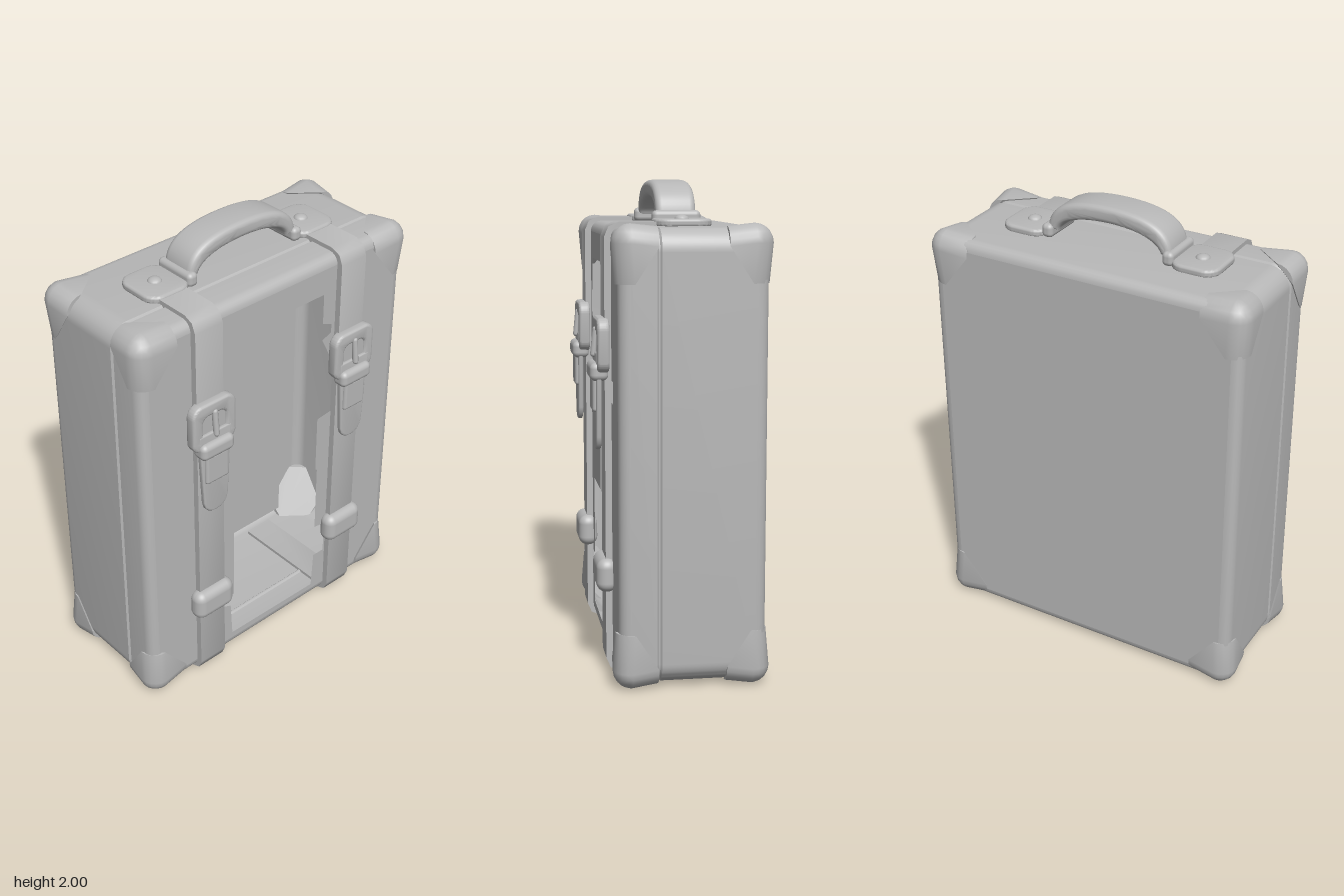
import * as THREE from 'three';
import { mergeGeometries, mergeVertices, toCreasedNormals } from 'three/addons/utils/BufferGeometryUtils.js';
import { RoundedBoxGeometry } from 'three/addons/geometries/RoundedBoxGeometry.js';
import { ConvexGeometry } from 'three/addons/geometries/ConvexGeometry.js';

const grey = new THREE.MeshStandardMaterial({ color: 0xb8b8b8, side: THREE.DoubleSide });
grey.name = 'plain grey';

// Body extents
const W = 0.71, Y0 = 0.015, Y1 = 1.82, ZB = -0.33, ZF = 0.258;
const FILLET = 0.045;

function add(parent, name, geometry, x = 0, y = 0, z = 0) {
  const mesh = new THREE.Mesh(geometry, grey);
  mesh.name = name;
  mesh.position.set(x, y, z);
  parent.add(mesh);
  return mesh;
}

function roundRect(x0, y0, x1, y1, r) {
  const s = new THREE.Shape();
  s.absarc(x1 - r, y0 + r, r, -Math.PI / 2, 0);
  s.absarc(x1 - r, y1 - r, r, 0, Math.PI / 2);
  s.absarc(x0 + r, y1 - r, r, Math.PI / 2, Math.PI);
  s.absarc(x0 + r, y0 + r, r, Math.PI, Math.PI * 1.5);
  s.closePath();
  return s;
}

const bodyOutline = inset =>
  roundRect(-W + inset, Y0 + inset, W - inset, Y1 - inset, 0.09 - inset);

function polyPath(points) {
  return new THREE.Path(points.map(p => new THREE.Vector2(p[0], p[1])));
}

// Hollow case: rounded rings from back to front, closed by two panels
function caseShell() {
  const profile = [];
  for (let i = 0; i <= 5; i++) {
    const a = (i / 5) * Math.PI / 2;
    profile.push([FILLET * (1 - Math.sin(a)), ZB + FILLET * (1 - Math.cos(a))]);
  }
  profile.push([0, 0.09], [0.008, 0.097], [0.008, 0.103], [0, 0.11]);
  for (let i = 0; i <= 5; i++) {
    const a = (i / 5) * Math.PI / 2;
    profile.push([FILLET * (1 - Math.cos(a)), ZF - FILLET * (1 - Math.sin(a))]);
  }
  const pos = [], idx = [];
  let n = 0;
  profile.forEach(([inset, z]) => {
    const ring = bodyOutline(inset).getPoints(6);
    n = ring.length;
    ring.forEach(p => pos.push(p.x, p.y, z));
  });
  for (let j = 0; j < profile.length - 1; j++) {
    for (let i = 0; i < n; i++) {
      const a = j * n + i, b = j * n + (i + 1) % n;
      idx.push(a, b, b + n, a, b + n, a + n);
    }
  }
  const g = new THREE.BufferGeometry();
  g.setAttribute('position', new THREE.Float32BufferAttribute(pos, 3));
  g.setIndex(idx);
  return toCreasedNormals(g, 0.7);
}

// Front panel with its ragged opening
function frontPanel() {
  const s = bodyOutline(FILLET);
  s.holes.push(polyPath([
    [-0.26, 1.66], [-0.26, 1.53], [-0.30, 1.5], [-0.30, 1.43], [-0.26, 1.4], [-0.26, 1.25], [-0.31, 1.24],
    [-0.31, 1.05], [-0.24, 1.03], [0.02, 1.03], [0.02, 0.67], [-0.24, 0.67], [-0.24, 0.32],
    [-0.31, 0.32], [-0.31, 0.28], [-0.26, 0.26], [-0.25, 0.09], [0.24, 0.085], [0.25, 0.26],
    [0.31, 0.26], [0.31, 0.42], [0.25, 0.43], [0.25, 0.76], [0.24, 0.77], [0.24, 1.04],
    [0.32, 1.05], [0.32, 1.3], [0.25, 1.44], [0.3, 1.46], [0.3, 1.5], [0.25, 1.52], [0.25, 1.66],
  ]));
  s.holes.push(polyPath([[0.46, 1.12], [0.46, 1.21], [0.51, 1.21], [0.51, 1.12]]));
  return new THREE.ShapeGeometry(s, 6);
}

// Rounded corner guard: three arms along the edges joined by slanted flaps
function cornerGuard(lx, ly, lz, r) {
  const pts = [];
  const N = 5;
  for (let i = 0; i <= N; i++) {
    const t = (i / N) * Math.PI / 2, c = r - r * Math.cos(t), s = r - r * Math.sin(t);
    pts.push(new THREE.Vector3(-lx, -c - 0.012, -s - 0.012));
    pts.push(new THREE.Vector3(-c - 0.012, -ly, -s - 0.012));
    pts.push(new THREE.Vector3(-c - 0.012, -s - 0.012, -lz));
    for (let j = 0; j <= N; j++) {
      const p = (j / N) * Math.PI / 2;
      pts.push(new THREE.Vector3(
        r * (Math.cos(t) * Math.sin(p) - 1),
        r * (Math.cos(p) - 1),
        r * (Math.sin(t) * Math.sin(p) - 1)));
    }
  }
  return toCreasedNormals(new ConvexGeometry(pts), 0.6);
}

// Strap running from the top, down the front and under the case
function strapGeometry(width) {
  const side = (t, reverse) => {
    const f = 0.285 - t, top = 1.838 - t, bot = t, r = 0.06;
    const p = [[-0.12, top], [f - r, top], [f - r * 0.3, top - r * 0.3], [f, top - r],
      [f, bot + r], [f - r * 0.3, bot + r * 0.3], [f - r, bot], [-0.27, bot]];
    return reverse ? p.reverse() : p;
  };
  const s = new THREE.Shape([...side(0, false), ...side(0.03, true)].map(p => new THREE.Vector2(p[0], p[1])));
  const g = new THREE.ExtrudeGeometry(s, { depth: width, bevelEnabled: false });
  g.translate(0, 0, -width / 2);
  g.rotateY(-Math.PI / 2);
  return toCreasedNormals(g, 0.8);
}

function plate(shape, depth, bevel) {
  const g = new THREE.ExtrudeGeometry(shape, {
    depth, bevelThickness: bevel, bevelSize: bevel, bevelOffset: -bevel, bevelSegments: 3, curveSegments: 8,
  });
  return toCreasedNormals(g, 0.7);
}

// Strap with buckle, hanging tongue and keeper loops
function strapAssembly() {
  const g = new THREE.Group();
  add(g, 'strap', strapGeometry(0.138));

  const frame = roundRect(-0.112, 1.24, 0.112, 1.46, 0.05);
  frame.holes.push(roundRect(-0.06, 1.29, 0.06, 1.4, 0.03));
  add(g, 'buckleFrame', plate(frame, 0.025, 0.012), 0, 0, 0.28);
  add(g, 'bucklePlate', new RoundedBoxGeometry(0.15, 0.2, 0.035, 3, 0.015), 0, 1.36, 0.29);
  const prong = add(g, 'bucklePin', new THREE.CapsuleGeometry(0.013, 0.1, 4, 10), 0, 1.36, 0.318);
  prong.rotation.x = -0.1;

  const tongue = new THREE.Shape();
  tongue.moveTo(-0.085, 1.32);
  tongue.lineTo(-0.065, 0.98);
  tongue.bezierCurveTo(-0.06, 0.90, 0.06, 0.90, 0.065, 0.98);
  tongue.lineTo(0.085, 1.32);
  tongue.closePath();
  add(g, 'strapTongue', plate(tongue, 0.006, 0.008), 0, 0, 0.305);
  add(g, 'tonguePad', new RoundedBoxGeometry(0.12, 0.14, 0.03, 3, 0.014), 0, 1.15, 0.318);
  add(g, 'upperKeeper', new RoundedBoxGeometry(0.17, 0.075, 0.075, 3, 0.025), 0, 1.245, 0.307);
  add(g, 'lowerKeeper', new RoundedBoxGeometry(0.205, 0.14, 0.085, 5, 0.04), 0, 0.41, 0.281);
  return g;
}

// Arched carrying handle
function handleGrip() {
  const s = new THREE.Shape();
  s.moveTo(-0.285, 1.85);
  s.bezierCurveTo(-0.28, 1.95, -0.2, 2, 0, 2);
  s.bezierCurveTo(0.2, 2, 0.28, 1.95, 0.285, 1.85);
  s.lineTo(0.235, 1.85);
  s.bezierCurveTo(0.225, 1.9, 0.13, 1.93, 0, 1.93);
  s.bezierCurveTo(-0.13, 1.93, -0.225, 1.9, -0.235, 1.85);
  s.closePath();
  const g = new THREE.ExtrudeGeometry(s, {
    depth: 0.115, bevelThickness: 0.025, bevelSize: 0.022, bevelOffset: -0.022, bevelSegments: 4, curveSegments: 16,
  });
  g.translate(0, 0, -0.0575);
  return toCreasedNormals(g, 0.8);
}

function handleMount() {
  const g = new THREE.Group();
  const s = roundRect(-0.105, -0.115, 0.105, 0.115, 0.065);
  const base = plate(s, 0.008, 0.012);
  base.rotateX(-Math.PI / 2);
  add(g, 'mountPlate', base, 0.39, 1.828, -0.033);
  const stud = new THREE.SphereGeometry(0.03, 16, 6, 0, Math.PI * 2, 0, Math.PI / 2);
  stud.scale(1, 0.6, 1);
  add(g, 'mountStud', stud, 0.39, 1.845, -0.035);
  add(g, 'handleFoot', new RoundedBoxGeometry(0.05, 0.06, 0.2, 3, 0.02), 0.277, 1.848, -0.03);
  return g;
}

export function createModel() {
  const model = new THREE.Group();
  model.name = 'suitcase';

  add(model, 'caseShell', caseShell());
  add(model, 'frontPanel', frontPanel(), 0, 0, ZF);
  const back = new THREE.ShapeGeometry(bodyOutline(FILLET), 6);
  back.rotateY(Math.PI);
  add(model, 'backPanel', back, 0, 0, ZB);

  // Corner guards
  for (const sx of [-1, 1]) for (const sy of [-1, 1]) for (const sz of [-1, 1]) {
    const m = add(model, 'cornerGuard', cornerGuard(0.2, 0.23, 0.18, 0.075),
      sx * 0.73, sy > 0 ? 1.838 : 0, sz > 0 ? 0.282 : -0.35);
    m.scale.set(sx, sy, sz);
  }

  // Straps and handle mounts on both sides
  for (const sx of [-1, 1]) {
    const strap = strapAssembly();
    strap.name = sx > 0 ? 'leftStrap' : 'rightStrap';
    strap.position.x = sx * 0.388;
    model.add(strap);
    const mount = handleMount();
    mount.name = sx > 0 ? 'leftHandleMount' : 'rightHandleMount';
    mount.scale.x = sx;
    model.add(mount);
  }
  add(model, 'handleGrip', handleGrip(), 0, 0, -0.03);
  return model;
}
